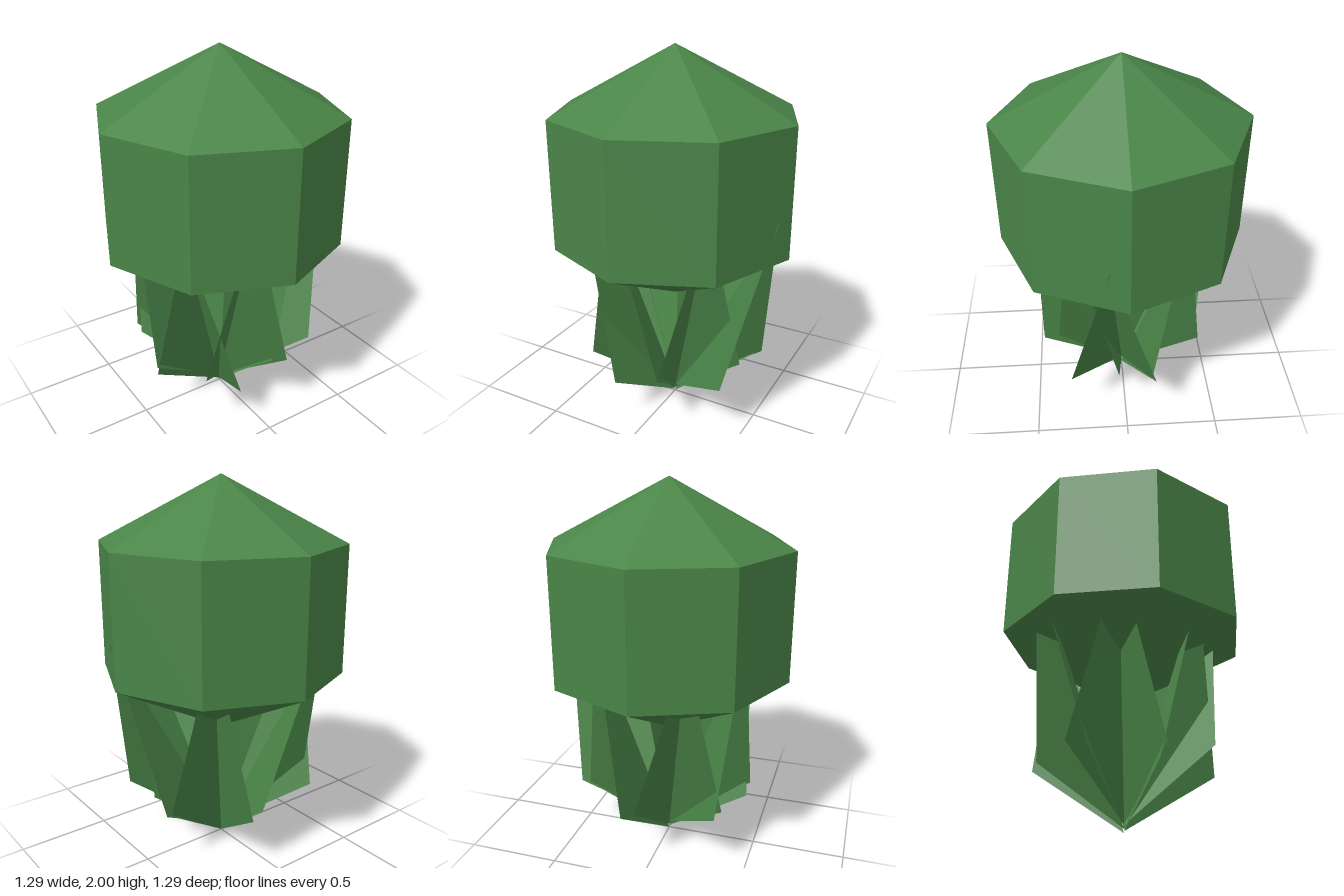
import * as THREE from 'three';

const leafGreen = new THREE.MeshStandardMaterial({ color: 0x4a8548, flatShading: true, side: THREE.DoubleSide });
leafGreen.name = 'leafGreen';

// Each leaf is a diamond folded along its midrib: base height, two side corners, tip
const leaves = [
  { base: 0.04, left: [-0.32, 0.37, 0.36], right: [0.14, 0.37, 0.45], tip: [-0.11, 1.3, 0.475] },
  { base: 0.02, left: [0.10, 0.33, 0.37], right: [0.42, 0.33, 0.04], tip: [0.34, 1.25, 0.29] },
  { base: 0.04, left: [0.42, 0.32, 0.30], right: [0.47, 0.32, -0.16], tip: [0.615, 1.21, 0.095] },
  { base: 0.00, left: [0.43, 0.30, -0.14], right: [0.13, 0.30, -0.44], tip: [0.29, 1.25, -0.32] },
  { base: 0.02, left: [0.06, 0.33, -0.43], right: [-0.37, 0.33, -0.27], tip: [-0.24, 1.25, -0.52] },
  { base: 0.04, left: [-0.35, 0.33, -0.36], right: [-0.455, 0.33, 0.08], tip: [-0.44, 1.25, -0.14] },
  { base: 0.01, left: [-0.44, 0.26, 0.05], right: [-0.14, 0.26, 0.42], tip: [-0.39, 1.17, 0.29] },
];

function makeLeaf({ base, left, right, tip }) {
  const root = [0, base, 0];
  const corners = [root, tip, left, root, right, tip].flat();
  const geometry = new THREE.BufferGeometry();
  geometry.setAttribute('position', new THREE.Float32BufferAttribute(corners, 3));
  geometry.computeVertexNormals();
  return new THREE.Mesh(geometry, leafGreen);
}

export function createModel() {
  const model = new THREE.Group();
  model.name = 'plant';

  // Faceted eight-sided crown
  const profile = [[0, 0.655], [0.645, 0.99], [0.645, 1.665], [0, 2]].map(([r, y]) => new THREE.Vector2(r, y));
  const crown = new THREE.Mesh(new THREE.LatheGeometry(profile, 8), leafGreen);
  crown.name = 'crown';
  model.add(crown);

  // Ring of leaves rising from one root point into the crown
  const foliage = new THREE.Group();
  foliage.name = 'leaves';
  leaves.forEach((spec, i) => {
    const leaf = makeLeaf(spec);
    leaf.name = `leaf${i + 1}`;
    foliage.add(leaf);
  });
  model.add(foliage);

  return model;
}
